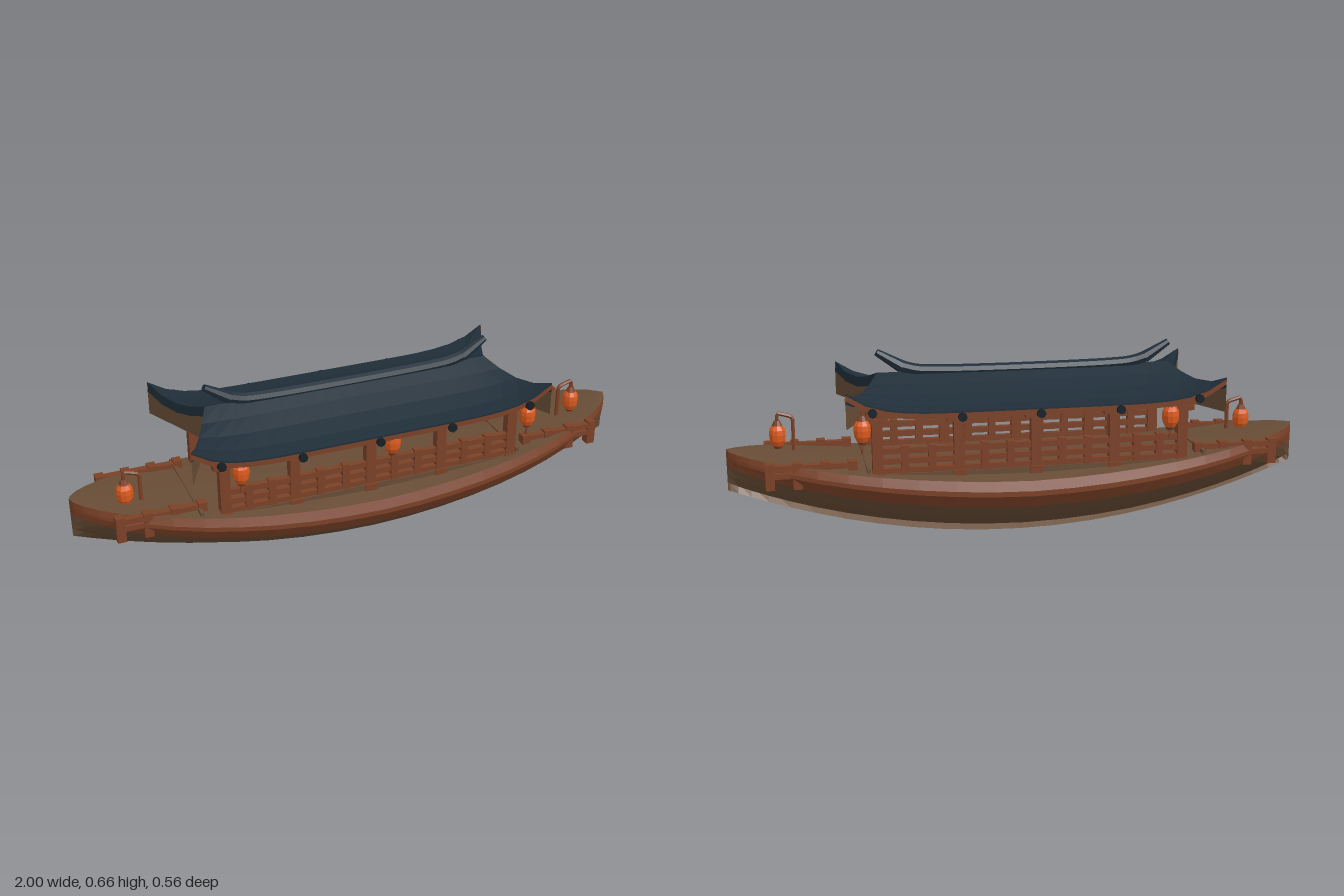
import * as THREE from 'three';

const mat = (name, color, both = false) => {
  const m = new THREE.MeshStandardMaterial({ color, flatShading: true });
  m.name = name;
  if (both) m.side = THREE.DoubleSide;
  return m;
};
const plank = mat('brown planks', 0x674c35, true);
const red = mat('red wood', 0x7b4127);
const tile = mat('slate roof', 0x202e39, true);
const dark = mat('dark tile ends', 0x161f26);
const glow = mat('orange lantern', 0xdc5a1e);

export function createModel() {
  const root = new THREE.Group();
  const add = (name, geo, m, x = 0, y = 0, z = 0, parent = root) => {
    const mesh = new THREE.Mesh(geo, m);
    mesh.name = name;
    mesh.position.set(x, y, z);
    parent.add(mesh);
    return mesh;
  };
  const box = (name, w, h, d, x, y, z, m = red) => add(name, new THREE.BoxGeometry(w, h, d), m, x, y, z);

  // Surface through a grid of points f(i, j)
  const surface = (name, f, ni, nj, m, flip = false) => {
    const pos = [], idx = [];
    for (let i = 0; i <= ni; i++) for (let j = 0; j <= nj; j++) pos.push(...f(i, j));
    for (let i = 0; i < ni; i++) for (let j = 0; j < nj; j++) {
      const a = i * (nj + 1) + j, b = a + nj + 1;
      idx.push(...(flip ? [a, b + 1, b, a, a + 1, b + 1] : [a, b, b + 1, a, b + 1, a + 1]));
    }
    const g = new THREE.BufferGeometry();
    g.setAttribute('position', new THREE.Float32BufferAttribute(pos, 3));
    g.setIndex(idx);
    const flat = g.toNonIndexed();
    flat.computeVertexNormals();
    return add(name, flat, m);
  };

  // Hull: one section scaled along the length, [half width, height fraction]
  const N = 24;
  const section = [[0, 0], [0.085, 0.2], [0.17, 0.4], [0.235, 0.62], [0.265, 0.8], [0.265, 0.87], [0.252, 1]];
  const stationX = i => Math.sin((i / N - 0.5) * Math.PI);
  const beam = x => Math.max(0.004, Math.pow(Math.max(0, 1 - Math.pow(Math.abs(x), 2.6)), 0.65));
  const keelY = x => 0.2 * x * x;
  const sheerY = x => 0.249 + 0.091 * Math.pow(Math.abs(x), 1.6);
  const crownY = x => 0.28 + 0.064 * Math.pow(Math.abs(x), 2.2);
  for (const s of [1, -1]) {
    const band = (name, from, to, m, inset = 1, inward = false) => surface(name, (i, j) => {
      const x = stationX(i), [w, v] = section[from + j];
      return [x, keelY(x) + v * (sheerY(x) - keelY(x)), s * w * beam(x) * inset];
    }, N, to - from, m, inward ? s > 0 : s < 0);
    band('hullBottom', s > 0 ? 0 : 1, 3, plank); // bottom stays open beside the keel on the back
    band('hullWale', 3, 6, red);
    band('hullLining', 3, 6, plank, 0.98, true);
  }

  // Cambered deck, cabin floor and a threshold at each end of the cabin
  surface('deck', (i, j) => {
    const x = stationX(i), t = 1 - j / 3;
    return [x, sheerY(x) + (crownY(x) - sheerY(x)) * (1 - t * t), 0.252 * t * beam(x)];
  }, N, 6, plank);
  box('cabinFloor', 1.1, 0.02, 0.39, -0.02, 0.272, 0, plank);
  for (const x of [-0.61, 0.54]) box('threshold', 0.012, 0.02, 0.38, x, crownY(x) - 0.006, 0, plank);

  // Roof: concave slopes, lifted corners, ends notched towards the ridge
  const RX = 20, cx = -0.02;
  const zs = [0.265, 0.2, 0.13, 0.065, 0, -0.065, -0.13, -0.2, -0.265];
  const slope = [0.502, 0.508, 0.528, 0.554, 0.583];
  const roof = (i, j, drop = 0) => {
    const t = i / RX * 2 - 1, z = zs[j], e = Math.abs(z) / 0.265;
    const y = slope[j < 5 ? j : 8 - j] + 0.073 * e * e * Math.pow(Math.abs(t), 7);
    return [cx + t * (0.51 + 0.124 * e), y - drop, z];
  };
  surface('roofTop', (i, j) => roof(i, j), RX, 8, tile);
  surface('roofLining', (i, j) => roof(i, j, 0.012), RX, 8, plank, true);
  for (const j of [0, 8]) {
    surface('eaveEdge', (i, k) => roof(i, j, 0.006 * (1 - k)), RX, 1, tile, j > 0);
    surface('eaveBoard', (i, k) => roof(i, j, 0.006 + 0.018 * (1 - k)), RX, 1, red, j > 0);
    surface('eaveBoardBack', (i, k) => {
      const [x, y, z] = roof(i, j, 0.006 + 0.018 * (1 - k));
      return [x, y, z * 0.985];
    }, RX, 1, red, j === 0);
  }

  // Gable boards: dark verge above a brown panel with a level lower edge
  for (const i of [0, RX]) {
    surface('verge', (j, k) => roof(i, j, 0.035 * (1 - k)), 8, 1, tile, i === 0);
    surface('gableBoard', (j, k) => {
      const [x, y, z] = roof(i, j, 0.035);
      return [x, k ? y : 0.456, z];
    }, 8, 1, plank, i === 0);
  }

  // Ridge with upturned, tapering horns
  const ridgePts = [[-0.435, 0.606], [-0.38, 0.59], [-0.3, 0.584], [0.3, 0.584], [0.38, 0.59], [0.435, 0.606]]
    .map(([x, y]) => new THREE.Vector3(x + cx, y, 0));
  add('ridge', new THREE.TubeGeometry(new THREE.CatmullRomCurve3(ridgePts), 40, 0.02, 8), tile);
  for (const e of [1, -1]) {
    const horn = add('ridgeHorn', new THREE.CylinderGeometry(0.012, 0.022, 0.1, 8), tile, cx + e * 0.467, 0.627, 0);
    horn.rotation.z = -e * 1.02;
  }

  // Round tile ends along the eaves
  const capGeo = new THREE.CylinderGeometry(0.015, 0.015, 0.03, 8).rotateX(Math.PI / 2);
  const bays = [-0.53, -0.29, -0.02, 0.24, 0.51];
  for (const s of [1, -1]) {
    [-0.56, -0.29, -0.02, 0.24, 0.53].forEach((x, k) =>
      add('tileEnd', capGeo, dark, x, k % 4 ? 0.483 : 0.508, s * 0.263));

    // Pillars, brackets, eave beam and side railing
    for (const x of bays) {
      box('pillar', 0.035, 0.25, 0.032, x, 0.365, s * 0.178);
      box('pillarBase', 0.045, 0.03, 0.045, x, 0.27, s * 0.178);
      box('bracket', 0.075, 0.018, 0.04, x, 0.46, s * 0.178);
    }
    box('eaveBeam', 1.12, 0.026, 0.03, -0.015, 0.482, s * 0.178);
    for (const [y, h] of [[0.287, 0.026], [0.323, 0.02], [0.358, 0.02]]) box('sideRail', 1.04, h, 0.02, -0.01, y, s * 0.18);
    for (let k = 0; k < 4; k++) for (const f of [1 / 3, 2 / 3]) {
      box('railPost', 0.025, 0.105, 0.026, bays[k] + (bays[k + 1] - bays[k]) * f, 0.322, s * 0.18);
    }

    // Railings on the open end decks
    for (const e of [1, -1]) {
      const off = e > 0 ? 0 : -0.01;
      for (let k = 0; k < 4; k++) {
        box('endPost', 0.03, 0.088, 0.032, e * (0.59 + k * 0.09) + off, 0.28, s * (0.149 - k * 0.002));
      }
      for (const y of [0.282, 0.308]) box('endRail', 0.28, 0.018, 0.024, e * 0.725 + off, y, s * 0.146);
    }
  }

  // Lantern: faceted body, wooden caps and a tassel
  const lantern = (x, y, z, tassel) => {
    const g = new THREE.Group();
    g.name = 'lantern';
    g.position.set(x, y, z);
    root.add(g);
    const profile = [[0, -0.036], [0.018, -0.036], [0.027, -0.018], [0.029, 0.004], [0.027, 0.02], [0.018, 0.034], [0, 0.034]]
      .map(p => new THREE.Vector2(...p));
    add('lanternBody', new THREE.LatheGeometry(profile, 10), glow, 0, 0, 0, g);
    add('lanternTop', new THREE.CylinderGeometry(0.01, 0.018, 0.018, 8), red, 0, 0.042, 0, g);
    add('lanternHook', new THREE.CylinderGeometry(0.005, 0.005, 0.02, 6), red, 0, 0.058, 0, g);
    add('lanternFoot', new THREE.CylinderGeometry(0.017, 0.011, 0.011, 8), red, 0, -0.041, 0, g);
    if (tassel) add('tassel', new THREE.CylinderGeometry(0.002, 0.006, 0.03, 6), red, 0, -0.06, 0, g);
  };
  for (const x of [-0.48, 0.05, 0.56]) lantern(x, 0.437, 0.207, true);
  for (const x of [-0.48, 0.56]) lantern(x, 0.437, -0.207, true);

  // Lantern stands on the end decks
  for (const e of [1, -1]) {
    const lift = e > 0 ? 0.01 : -0.008;
    lantern(e * 0.828, 0.36 + lift, 0.05, false);
    const arm = [[0.775, 0.28], [0.775, 0.415], [0.785, 0.425], [0.825, 0.436], [0.828, 0.41]]
      .map(([x, y]) => new THREE.Vector3(e * x, y + lift, 0.05));
    add('lanternStand', new THREE.TubeGeometry(new THREE.CatmullRomCurve3(arm, false, 'catmullrom', 0.1), 24, 0.007, 6), red);
  }
  return root;
}
